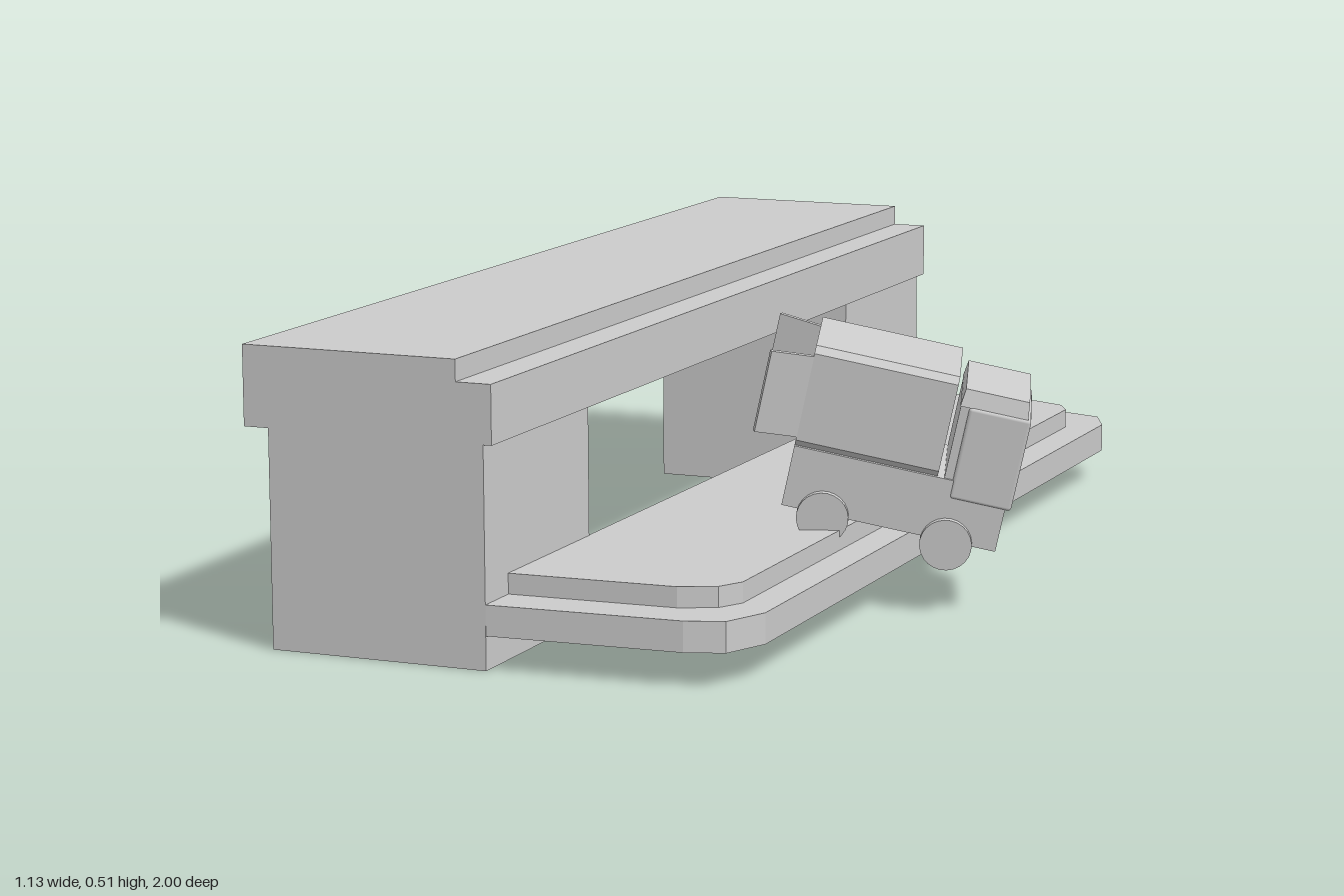
import * as THREE from 'three';
import { RoundedBoxGeometry } from 'three/addons/geometries/RoundedBoxGeometry.js';

const mat = new THREE.MeshStandardMaterial({ color: 0xcccccc });

function add(parent, name, geo, x = 0, y = 0, z = 0) {
  const mesh = new THREE.Mesh(geo, mat);
  mesh.name = name;
  mesh.position.set(x, y, z);
  parent.add(mesh);
  return mesh;
}

// Box given by its limits on each axis
function block(parent, name, [x0, x1], [y0, y1], [z0, z1]) {
  const geo = new THREE.BoxGeometry(x1 - x0, y1 - y0, z1 - z0);
  return add(parent, name, geo, (x0 + x1) / 2, (y0 + y1) / 2, (z0 + z1) / 2);
}

const polygon = (points) => new THREE.Shape(points.map(([x, y]) => new THREE.Vector2(x, y)));
const extrude = (shape, depth) => new THREE.ExtrudeGeometry(shape, { depth, bevelEnabled: false });

// Flat plate: half outline in x and z, mirrored across z = 0
function plate(half, thickness) {
  const mirrored = half.map(([x, z]) => [x, -z]).reverse();
  return extrude(polygon([...mirrored, ...half]), thickness).rotateX(-Math.PI / 2);
}

// Rectangle with chamfered corners
function chamfered(w, h, c) {
  const a = w / 2, b = h / 2;
  return [[-a + c, -b], [a - c, -b], [a, -b + c], [a, b - c],
    [a - c, b], [-a + c, b], [-a, b - c], [-a, -b + c]];
}

function createVan() {
  const van = new THREE.Group();
  van.name = 'van';

  // Lower body and cab; local +x is forward, y = 0 is the cargo roof
  block(van, 'chassis', [-0.125, 0.25], [-0.288, -0.18], [-0.105, 0.105]);
  block(van, 'cab', [0.137, 0.25], [-0.2, -0.04], [-0.1, 0.1]);
  add(van, 'wraparoundWindow', new RoundedBoxGeometry(0.108, 0.165, 0.214, 2, 0.006), 0.206, -0.13, 0);

  // Cab roof, narrowing to the top
  const roof = new THREE.BoxGeometry(0.118, 0.03, 0.206);
  const p = roof.attributes.position;
  for (let i = 0; i < p.count; i++) {
    if (p.getY(i) > 0) p.setXYZ(i, p.getX(i) * 0.94, p.getY(i), p.getZ(i) * 0.92);
  }
  roof.computeVertexNormals();
  add(van, 'cabRoof', roof, 0.195, -0.034, 0);

  // Hollow cargo box, open at the rear
  const shell = polygon(chamfered(0.22, 0.18, 0.012));
  shell.holes.push(polygon(chamfered(0.19, 0.15, 0.006)));
  add(van, 'cargoShell', extrude(shell, 0.25).rotateY(Math.PI / 2), -0.125, -0.09, 0);
  block(van, 'cargoBulkhead', [0.1, 0.124], [-0.17, -0.01], [-0.1, 0.1]);

  for (const side of [-1, 1]) {
    // Rear door swung open on its hinge
    const hinge = new THREE.Group();
    hinge.name = side > 0 ? 'rightDoor' : 'leftDoor';
    hinge.position.set(-0.122, -0.09, side * 0.104);
    hinge.rotation.y = side * 0.32;
    add(hinge, 'doorPanel', new THREE.BoxGeometry(0.08, 0.145, 0.01), -0.04, 0, 0);
    van.add(hinge);

    for (const x of [-0.052, 0.164]) {
      const wheel = new THREE.CylinderGeometry(0.045, 0.045, 0.035, 24).rotateX(Math.PI / 2);
      add(van, x > 0 ? 'frontWheel' : 'rearWheel', wheel, x, -0.292, side * 0.1);
    }
  }

  // Small handle on the cab's far side
  block(van, 'cabHandle', [0.185, 0.215], [-0.155, -0.105], [-0.122, -0.105]);

  // Nose down, turned and leaning over the platform edge
  van.position.set(0.3, 0.45, 0.29);
  van.rotation.set(0.09, 0.34, -0.212, 'YZX');
  return van;
}

export function createModel() {
  const model = new THREE.Group();
  model.name = 'platformWithVan';

  // Long beam with a stepped front edge
  const beam = polygon([[-0.567, 0.373], [-0.115, 0.373], [-0.115, 0.473],
    [-0.178, 0.473], [-0.178, 0.51], [-0.567, 0.51]]);
  add(model, 'beam', extrude(beam, 2), 0, 0, -1);

  // End supports
  for (const side of [-1, 1]) {
    const z = [side * 0.6, side].sort((a, b) => a - b);
    block(model, 'support', [-0.522, -0.13], [0, 0.374], z);
  }

  // Two-step platform with clipped corners
  add(model, 'lowerPlatform', plate([[0.31, 0.88], [0.31, 0.92], [0.275, 0.96],
    [0.21, 0.982], [-0.142, 1]].filter((_, i) => i !== 1), 0.052), 0, 0.058, 0);
  add(model, 'upperPlatform', plate([[0.25, 0.83], [0.226, 0.875],
    [0.165, 0.902], [-0.132, 0.915]], 0.036), 0, 0.109, 0);

  model.add(createVan());
  return model;
}
